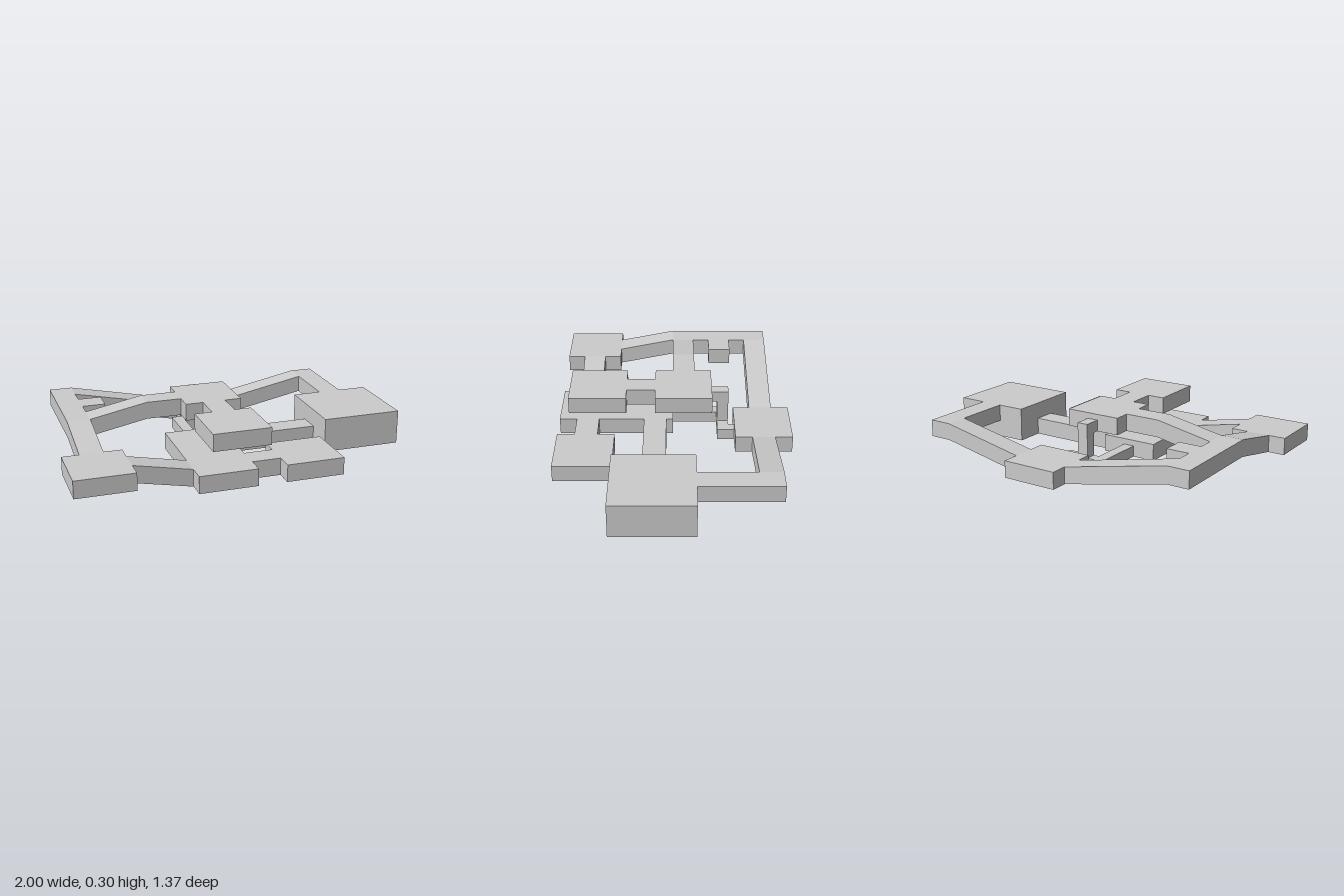
import * as THREE from 'three';

const material = new THREE.MeshStandardMaterial({ color: 0xcccccc, flatShading: true });

// Box from ranges. Optional rise shears it into a ramp: the far end of `axis`
// is lifted by `rise` relative to the near (minimum) end.
function block(name, [x0, x1], [y0, y1], [z0, z1], axis = null, rise = 0) {
  const g = new THREE.BoxGeometry(x1 - x0, y1 - y0, z1 - z0);
  g.translate((x0 + x1) / 2, (y0 + y1) / 2, (z0 + z1) / 2);
  if (axis) {
    const p = g.attributes.position;
    const [a, b] = axis === 'x' ? [x0, x1] : [z0, z1];
    for (let i = 0; i < p.count; i++) {
      const v = axis === 'x' ? p.getX(i) : p.getZ(i);
      p.setY(i, p.getY(i) + rise * (v - a) / (b - a));
    }
    g.computeVertexNormals();
  }
  const mesh = new THREE.Mesh(g, material);
  mesh.name = name;
  return mesh;
}

export function createModel() {
  const group = new THREE.Group();
  group.name = 'roomLayout';

  // Floor levels
  const ground = [0, 0.1];
  const low = [0.067, 0.167];
  const mid = [0.135, 0.235];
  const high = [0.2, 0.3];
  const raised = [0.1, 0.2];
  const duct = [0, 0.066];
  const upperDuct = [0.2, 0.266];

  const parts = [
    // Ground rooms
    ['tallRoom', [0.533, 1], [0, 0.2], [-0.117, 0.35]],
    ['backRoom', [-0.133, 0.2], ground, [-0.685, -0.352]],
    ['centralRoom', [-0.335, 0], ground, [0.012, 0.685]],
    ['smallFrontRoom', [0.165, 0.5], ground, [0.35, 0.685]],
    ['leftFrontRoom', [-1, -0.667], low, [0.35, 0.685]],

    // Ground passages
    ['smallRoomPassage', [0, 0.165], ground, [0.45, 0.583]],
    ['tallRoomPassage', [0, 0.533], ground, [0.05, 0.183]],

    // Outer loop of corridors and ramps
    ['rightCorridor', [0.7, 0.833], raised, [-0.583, -0.117]],
    ['backRightRamp', [0.2, 0.7], ground, [-0.583, -0.45], 'x', 0.1],
    ['backLeftRamp', [-0.77, -0.133], mid, [-0.583, -0.45], 'x', -0.135],
    ['leftCorridor', [-0.903, -0.77], mid, [-0.583, 0.012]],
    ['leftAlcove', [-0.77, -0.635], mid, [-0.352, -0.218]],
    ['leftRamp', [-0.903, -0.77], mid, [0.012, 0.35], 'z', -0.068],
    ['frontRamp', [-0.667, -0.335], low, [0.45, 0.583], 'x', -0.067],

    // Upper floor
    ['upperRamp', [-0.77, -0.44], mid, [-0.12, 0.012], 'x', 0.065],
    ['upperCorridor', [-0.44, -0.235], high, [-0.12, 0.012]],
    ['upperBackRoom', [-0.235, 0.098], high, [-0.218, 0.115]],
    ['upperPassage', [-0.133, 0], high, [0.115, 0.283]],
    ['upperFrontRoom', [-0.235, 0.098], high, [0.283, 0.617]],

    // Narrow ducts and the shaft joining both floors
    ['ductFromBackRoom', [0, 0.066], duct, [-0.352, -0.252]],
    ['crossDuct', [-0.2, 0], duct, [-0.318, -0.252]],
    ['ductToCentralRoom', [-0.2, -0.135], duct, [-0.252, 0.012]],
    ['verticalShaft', [-0.1, -0.035], [0.066, 0.2], [-0.318, -0.252]],
    ['upperDuct', [-0.1, -0.035], upperDuct, [-0.318, -0.218]],
  ];
  for (const p of parts) group.add(block(...p));

  return group;
}
